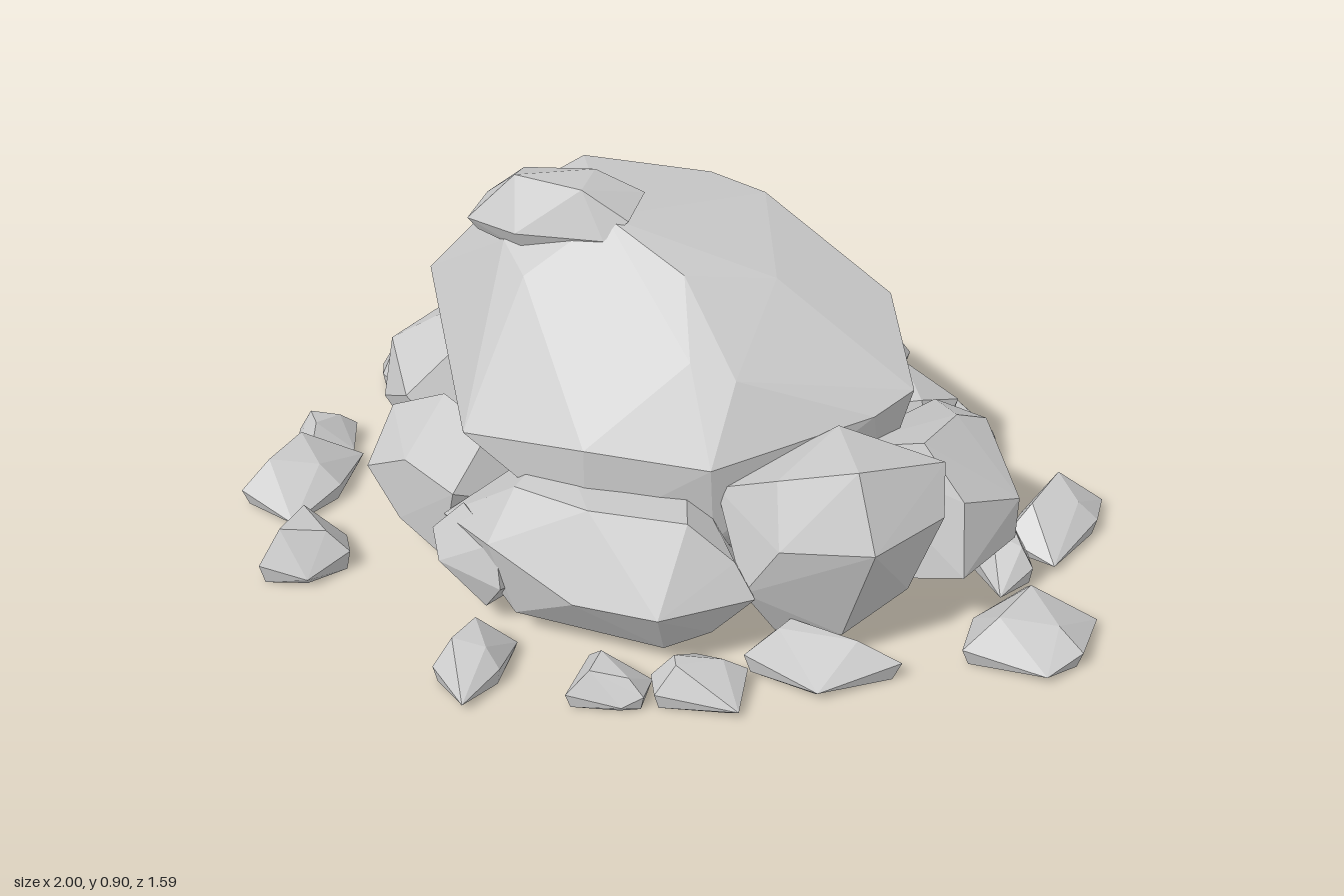
import * as THREE from 'three';
import { ConvexGeometry } from 'three/addons/geometries/ConvexGeometry.js';

const stone = new THREE.MeshStandardMaterial({ color: 0xcccccc, flatShading: true });
const openStone = new THREE.MeshStandardMaterial({ color: 0xcccccc, flatShading: true, side: THREE.DoubleSide });

// A faceted rock: the convex hull of a few corner points [x, y, z]
function rock(name, corners) {
  const geometry = new ConvexGeometry(corners.map(c => new THREE.Vector3(...c)));
  const mesh = new THREE.Mesh(geometry, stone);
  mesh.name = name;
  return mesh;
}

// Removes the faces lying on the ground
function openBase(geometry) {
  const p = geometry.attributes.position;
  const kept = [];
  for (let i = 0; i < p.count; i += 3) {
    if (Math.max(p.getY(i), p.getY(i + 1), p.getY(i + 2)) < 0.001) continue;
    for (let j = i; j < i + 3; j++) kept.push(p.getX(j), p.getY(j), p.getZ(j));
  }
  const open = new THREE.BufferGeometry();
  open.setAttribute('position', new THREE.Float32BufferAttribute(kept, 3));
  open.computeVertexNormals();
  return open;
}

// A small chipped stone, open below, with the given height and outline [x, z]
function looseStone(name, height, outline) {
  const n = outline.length;
  const cx = outline.reduce((sum, p) => sum + p[0], 0) / n;
  const cz = outline.reduce((sum, p) => sum + p[1], 0) / n;
  const corners = [];
  outline.forEach(([x, z], i) => {
    const at = (k, y) => corners.push([cx + (x - cx) * k, y * height, cz + (z - cz) * k]);
    at(i % 3 ? 0.9 : 0.75, 0);
    at(1, i % 2 ? 0.2 : 0.4);
    if (i % 2 === 0) at(0.5, i % 4 ? 0.8 : 1);
  });
  const mesh = rock(name, corners);
  mesh.geometry = openBase(mesh.geometry);
  mesh.material = openStone;
  return mesh;
}

export function createModel() {
  const group = new THREE.Group();
  group.name = 'rockPile';

  // Large central boulder and the slab on its top
  group.add(rock('mainBoulder', [
    [-0.15, 0.84, 0.07], [-0.38, 0.75, 0.1], [-0.48, 0.73, -0.06], [-0.35, 0.76, -0.3],
    [-0.04, 0.77, -0.31], [0.1, 0.76, -0.28], [0.22, 0.72, 0], [0.05, 0.76, 0.12],
    [-0.3, 0.72, 0.18], [0.43, 0.62, -0.18], [0.54, 0.5, 0], [0.48, 0.48, 0.1],
    [0.11, 0.63, 0.25], [0.21, 0.6, 0.24],
    [0.2, 0.45, 0.37], [-0.07, 0.47, 0.42], [-0.37, 0.42, 0.38], [-0.67, 0.5, -0.11],
    [-0.38, 0.52, -0.4], [-0.05, 0.55, -0.43], [0.25, 0.52, -0.33], [-0.55, 0.32, -0.02],
    [-0.05, 0.25, -0.43], [0.48, 0.25, 0.02], [-0.07, 0.25, 0.42], [0.2, 0.25, 0.35],
    [-0.25, 0.06, -0.12], [0.25, 0.06, -0.12], [0.25, 0.06, 0.12], [-0.25, 0.06, 0.12],
  ]));
  group.add(rock('topSlab', [
    [-0.37, 0.89, 0.05], [-0.2, 0.9, 0.08], [-0.22, 0.88, -0.05], [-0.1, 0.85, -0.04],
    [-0.1, 0.83, 0.06], [-0.14, 0.8, 0.11], [-0.34, 0.79, 0.13], [-0.48, 0.77, 0.07],
    [-0.47, 0.79, -0.02], [-0.4, 0.84, -0.07], [-0.15, 0.83, -0.07], [-0.33, 0.74, 0.11],
    [-0.46, 0.74, 0.06],
  ]));

  // Ring of boulders leaning against the base
  group.add(rock('frontBoulder', [
    [-0.22, 0.36, 0.45], [0.18, 0.37, 0.46], [-0.03, 0.38, 0.5], [-0.25, 0.26, 0.54],
    [-0.03, 0.2, 0.6], [0.16, 0.2, 0.59], [0.33, 0.2, 0.45], [0.28, 0.28, 0.44],
    [-0.42, 0.2, 0.4], [-0.2, 0.07, 0.52], [0.14, 0.05, 0.5], [0.24, 0.1, 0.47],
    [-0.36, 0.06, 0.3], [0.22, 0.02, 0.25], [-0.2, 0.02, 0.3], [0.1, 0.05, 0.02],
    [-0.2, 0.06, 0.02], [0.1, 0.36, 0.25], [-0.2, 0.36, 0.25],
  ]));
  group.add(rock('frontLeftBoulder', [
    [0.52, 0.52, 0.36], [0.35, 0.47, 0.38], [0.42, 0.49, 0.17], [0.66, 0.46, 0.18],
    [0.2, 0.38, 0.33], [0.68, 0.36, 0.24], [0.58, 0.36, 0.42], [0.38, 0.34, 0.45],
    [0.3, 0.2, 0.44], [0.62, 0.18, 0.28], [0.5, 0.08, 0.36], [0.35, 0.06, 0.37],
    [0.3, 0.02, 0.2], [0.52, 0.05, 0.18], [0.64, 0.3, 0.1], [0.25, 0.1, 0.08],
  ]));
  group.add(rock('leftBoulder', [
    [0.6, 0.46, 0.13], [0.63, 0.43, -0.04], [0.68, 0.38, -0.12], [0.54, 0.34, -0.21],
    [0.71, 0.37, 0.19], [0.8, 0.3, 0.04], [0.8, 0.2, 0.05], [0.73, 0.2, 0.23],
    [0.72, 0.22, -0.17], [0.64, 0.11, 0.12], [0.62, 0.1, -0.12], [0.42, 0.06, -0.14],
    [0.42, 0.05, 0.14], [0.22, 0.08, 0], [0.4, 0.38, 0.1],
  ]));
  group.add(rock('backLeftBoulder', [
    [0.05, 0.43, -0.46], [0.34, 0.41, -0.42], [-0.2, 0.32, -0.43], [0.06, 0.28, -0.56],
    [0.41, 0.27, -0.48], [0.43, 0.32, -0.22], [-0.2, 0.18, -0.48], [0.28, 0.13, -0.53],
    [0.0, 0.1, -0.52], [0.36, 0.05, -0.36], [-0.12, 0.03, -0.36], [0.38, 0.07, -0.15],
    [0, 0.4, -0.25], [0.2, 0.02, -0.3], [0, 0.06, -0.05], [0.22, 0.06, -0.06],
  ]));
  group.add(rock('sideWedge', [
    [0.42, 0.31, -0.38], [0.5, 0.3, -0.25], [0.56, 0.24, -0.37], [0.54, 0.18, -0.22],
    [0.46, 0.2, -0.46], [0.52, 0.07, -0.34], [0.42, 0.03, -0.38], [0.38, 0.03, -0.2],
    [0.38, 0.3, -0.18],
  ]));
  group.add(rock('backRightBoulder', [
    [-0.6, 0.34, -0.4], [-0.38, 0.36, -0.45], [-0.15, 0.33, -0.42], [-0.36, 0.26, -0.56],
    [-0.18, 0.24, -0.52], [-0.66, 0.28, -0.51], [-0.76, 0.25, -0.43], [-0.7, 0.2, -0.23],
    [-0.6, 0.1, -0.47], [-0.3, 0.06, -0.48], [-0.58, 0.06, -0.3], [-0.1, 0.1, -0.42],
    [-0.5, 0.35, -0.22], [-0.35, 0.02, -0.3], [-0.15, 0.06, -0.1],
  ]));
  group.add(rock('rightBoulder', [
    [-0.63, 0.39, -0.1], [-0.55, 0.38, 0.02], [-0.66, 0.36, -0.2], [-0.76, 0.31, -0.06],
    [-0.74, 0.29, -0.18], [-0.65, 0.27, 0.1], [-0.76, 0.18, 0], [-0.7, 0.12, -0.15],
    [-0.62, 0.06, 0.06], [-0.45, 0.04, 0.1], [-0.45, 0.05, -0.22], [-0.45, 0.36, -0.15],
    [-0.25, 0.08, -0.02],
  ]));
  group.add(rock('frontRightBoulder', [
    [-0.53, 0.33, 0.14], [-0.38, 0.32, 0.22], [-0.67, 0.26, 0.13], [-0.68, 0.17, 0.26],
    [-0.55, 0.26, 0.32], [-0.4, 0.25, 0.39], [-0.58, 0.08, 0.31], [-0.45, 0.04, 0.36],
    [-0.62, 0.08, 0.17], [-0.35, 0.03, 0.16], [-0.22, 0.08, 0.14],
  ]));
  group.add(rock('frontRightWedge', [
    [-0.36, 0.26, 0.42], [-0.24, 0.25, 0.52], [-0.44, 0.17, 0.42], [-0.4, 0.13, 0.48],
    [-0.22, 0.15, 0.55], [-0.28, 0.05, 0.5], [-0.4, 0.04, 0.4], [-0.22, 0.04, 0.35],
  ]));

  // Loose stones scattered around the pile
  const add = (...args) => group.add(looseStone(...args));
  add('rightStoneSmall', 0.1, [[-0.99, 0.02], [-0.94, -0.06], [-0.87, -0.05], [-0.84, 0.03], [-0.92, 0.1], [-0.98, 0.07]]);
  add('rightStoneLong', 0.11, [[-0.96, 0.05], [-0.81, 0.04], [-0.79, 0.2], [-0.84, 0.35], [-1, 0.3], [-1, 0.19]]);
  add('frontRightStone', 0.13, [[-0.8, 0.35], [-0.7, 0.35], [-0.65, 0.43], [-0.71, 0.53], [-0.82, 0.55], [-0.84, 0.48]]);
  add('frontStoneRight', 0.11, [[-0.27, 0.56], [-0.18, 0.56], [-0.17, 0.68], [-0.21, 0.79], [-0.31, 0.72], [-0.3, 0.63]]);
  add('frontStoneMiddle', 0.09, [[-0.01, 0.56], [0.14, 0.57], [0.15, 0.65], [0.11, 0.68], [-0.01, 0.7]]);
  add('frontStoneLeft', 0.1, [[0.14, 0.58], [0.2, 0.46], [0.33, 0.49], [0.35, 0.61], [0.17, 0.64]]);
  add('frontLeftStone', 0.12, [[0.34, 0.38], [0.45, 0.3], [0.64, 0.37], [0.49, 0.5], [0.31, 0.46]]);
  add('leftStoneFront', 0.11, [[0.83, 0.02], [1, 0.05], [1, 0.2], [0.94, 0.28], [0.75, 0.28], [0.74, 0.14]]);
  add('leftStoneLong', 0.11, [[0.8, -0.42], [0.92, -0.39], [0.93, -0.28], [0.87, -0.1], [0.74, -0.14], [0.75, -0.27]]);
  add('leftStoneInner', 0.11, [[0.73, -0.2], [0.8, -0.13], [0.83, -0.05], [0.78, 0.05], [0.69, -0.05]]);
  add('backLeftStone', 0.12, [[0.49, -0.58], [0.61, -0.57], [0.63, -0.51], [0.58, -0.4], [0.49, -0.44], [0.45, -0.52]]);
  add('backStoneInner', 0.13, [[0.11, -0.65], [0.2, -0.65], [0.26, -0.53], [0.17, -0.47], [0.08, -0.5]]);
  add('backStoneLarge', 0.14, [[-0.03, -0.8], [0.03, -0.79], [0.11, -0.67], [0.09, -0.59], [-0.01, -0.54], [-0.11, -0.64], [-0.1, -0.71]]);
  add('backRightStone', 0.13, [[-0.4, -0.69], [-0.27, -0.66], [-0.29, -0.53], [-0.49, -0.53], [-0.52, -0.6]]);
  add('backRightStoneSmall', 0.12, [[-0.66, -0.61], [-0.57, -0.61], [-0.54, -0.54], [-0.62, -0.46], [-0.73, -0.52]]);
  add('rightStoneBack', 0.15, [[-0.88, -0.41], [-0.77, -0.4], [-0.73, -0.28], [-0.75, -0.17], [-0.89, -0.24], [-0.93, -0.32]]);

  return group;
}
